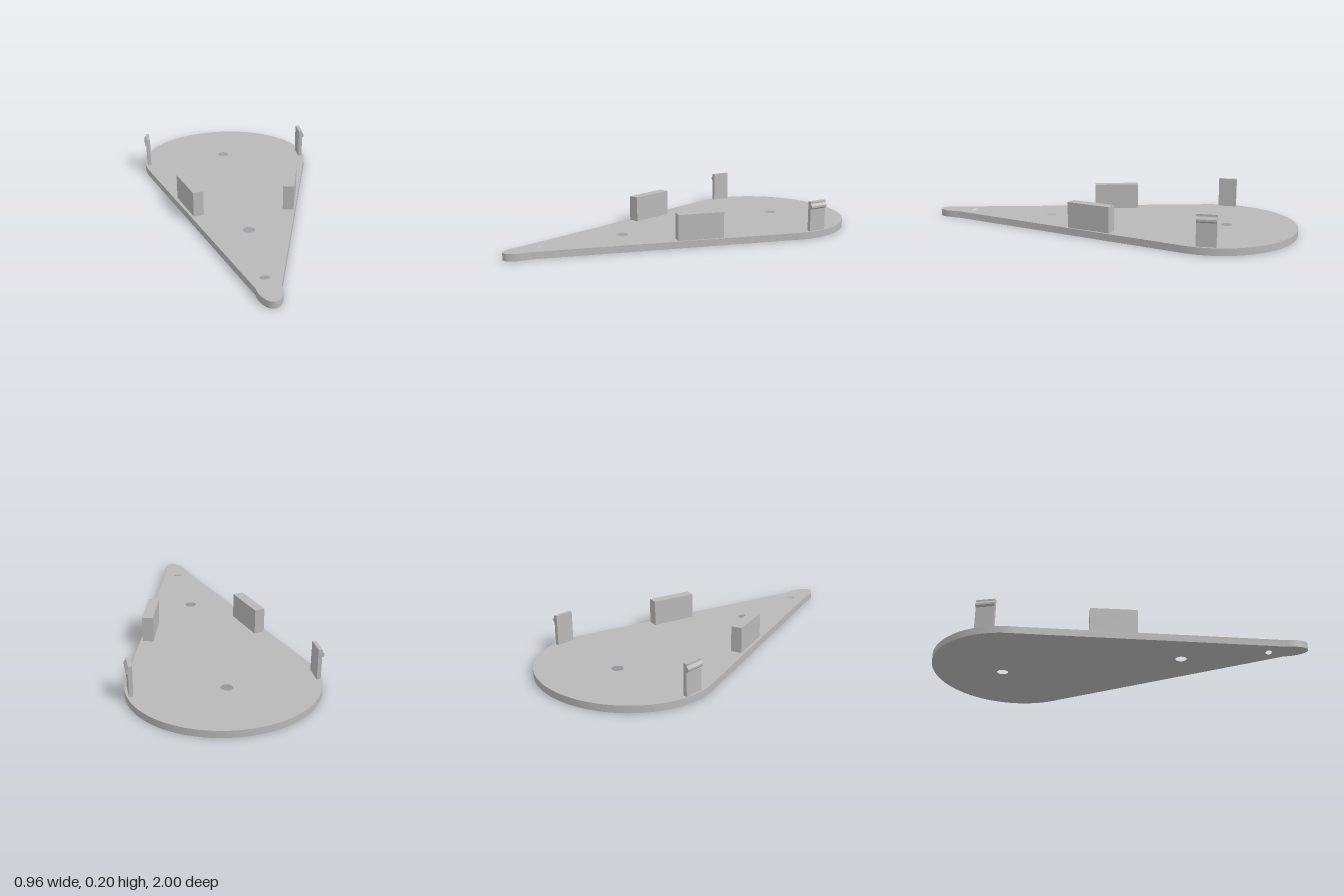
import * as THREE from 'three';
import { toCreasedNormals } from 'three/addons/utils/BufferGeometryUtils.js';

const THICK = 0.037;

// Elliptical hole in plan coordinates (x, z)
function hole(x, z, rx, rz) {
  const path = new THREE.Path();
  path.absellipse(x, z, rx, rz, 0, Math.PI * 2, true);
  return path;
}

// Teardrop plate: wide round rear, straight sides, narrow off-centre tip
function plateGeometry() {
  const shape = new THREE.Shape();
  const a = Math.asin(0.16 / 0.43);
  const b = Math.asin(0.11 / 0.43);
  shape.absellipse(0, -0.57, 0.48, 0.43, a, Math.PI - b, true);
  shape.lineTo(-0.137, 0.88);
  shape.absellipse(-0.076, 0.88, 0.061, 0.12, Math.PI, 0, true);
  shape.closePath();
  shape.holes.push(
    hole(0, -0.63, 0.03, 0.03),
    hole(-0.05, 0.345, 0.03, 0.03),
    hole(-0.075, 0.8, 0.025, 0.016)
  );
  const geo = new THREE.ExtrudeGeometry(shape, { depth: THICK, bevelEnabled: false, curveSegments: 48 });
  geo.rotateX(Math.PI / 2); // shape y becomes z, extrusion points down
  geo.translate(0, THICK, 0);
  return toCreasedNormals(geo, 0.5);
}

// Upright snap clip, its hook pointing to local +x
function clipGeometry() {
  const pts = [
    [-0.011, 0.03], [0.009, 0.03], [0.009, 0.155], [0.019, 0.164],
    [0.019, 0.174], [0.009, 0.186], [0.009, 0.197], [-0.011, 0.197],
  ].map(([x, y]) => new THREE.Vector2(x, y));
  const geo = new THREE.ExtrudeGeometry(new THREE.Shape(pts), { depth: 0.1, bevelEnabled: false });
  geo.translate(0, 0, -0.05);
  return geo;
}

export function createModel() {
  const group = new THREE.Group();
  const grey = new THREE.MeshStandardMaterial({ color: 0xb8b8b8 });
  grey.name = 'plastic grey';

  const add = (name, geo, x = 0, y = 0, z = 0, turn = 0) => {
    const mesh = new THREE.Mesh(geo, grey);
    mesh.name = name;
    mesh.position.set(x, y, z);
    mesh.rotation.y = turn;
    group.add(mesh);
  };

  add('basePlate', plateGeometry());

  // Support blocks running along the straight sides
  const block = new THREE.BoxGeometry(0.057, 0.141, 0.244);
  add('rightBlock', block, -0.301, 0.1025, 0.019, 0.22);
  add('leftBlock', block, 0.239, 0.1025, 0.052, -0.32);

  // Snap clips at the widest part, hooks outward
  const clip = clipGeometry();
  add('rightClip', clip, -0.458, 0, -0.608, Math.PI - 0.05);
  add('leftClip', clip, 0.457, 0, -0.56, -0.05);

  return group;
}
